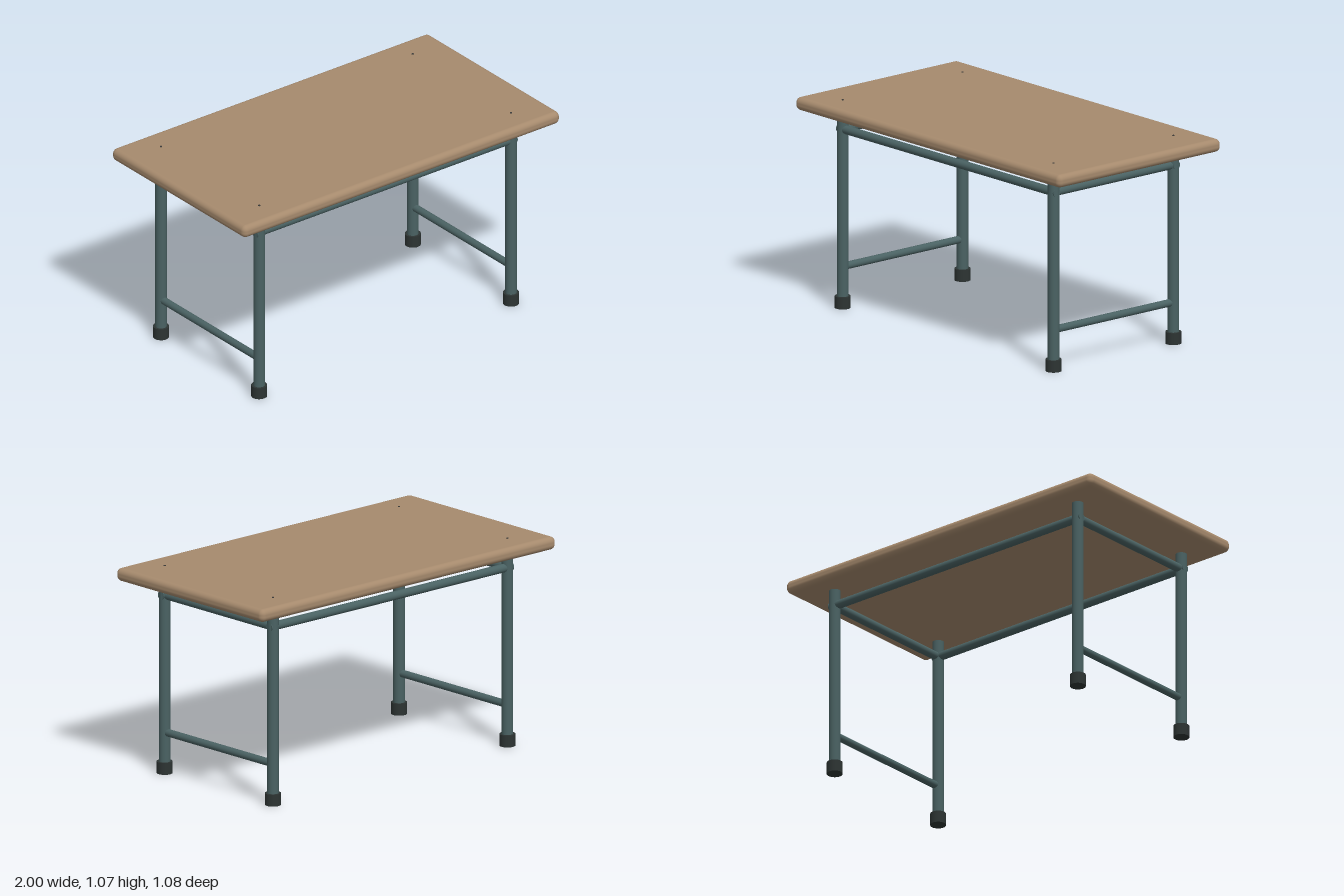
import * as THREE from 'three';
import { RoundedBoxGeometry } from 'three/addons/geometries/RoundedBoxGeometry.js';

export function createModel() {
  const table = new THREE.Group();
  table.name = 'table';

  const material = (name, color) => {
    const m = new THREE.MeshStandardMaterial({ color });
    m.name = name;
    return m;
  };
  const wood = material('wood', 0xa68a6d);
  const steel = material('painted steel', 0x4a6263);
  const rubber = material('rubber', 0x2d3433);
  const screwMetal = material('dark screw metal', 0x3b3b39);

  const legX = 0.795, legZ = 0.396;
  const topY = 1.002, topThickness = 0.067;

  const add = (name, geometry, mat, x, y, z) => {
    const mesh = new THREE.Mesh(geometry, mat);
    mesh.name = name;
    mesh.position.set(x, y, z);
    table.add(mesh);
    return mesh;
  };
  const rod = (radius, length, sides = 32) =>
    new THREE.CylinderGeometry(radius, radius, length, sides);

  // Rounded slab
  add('tabletop', new RoundedBoxGeometry(2, topThickness, 1.076, 6, 0.028),
    wood, 0, topY + topThickness / 2, 0);

  // Legs with foot caps and the screws above them
  for (const sx of [-1, 1]) {
    for (const sz of [-1, 1]) {
      const x = sx * legX, z = sz * legZ;
      add('leg', rod(0.029, 0.984), steel, x, 0.512, z);
      add('footCap', rod(0.04, 0.061), rubber, x, 0.0305, z);
      add('screw', rod(0.006, 0.012, 12), screwMetal, x, 1.066, z);
    }
  }

  // Long rails, whose ends just break the outside of the legs
  for (const sz of [-1, 1]) {
    add('longRail', rod(0.022, 1.642), steel, 0, 0.921, sz * legZ).rotation.z = Math.PI / 2;
  }

  // Upper and lower rails at each end
  for (const sx of [-1, 1]) {
    add('upperSideRail', rod(0.022, 2 * legZ), steel, sx * legX, 0.921, 0).rotation.x = Math.PI / 2;
    add('lowerSideRail', rod(0.019, 2 * legZ), steel, sx * legX, 0.212, 0).rotation.x = Math.PI / 2;
  }

  return table;
}
